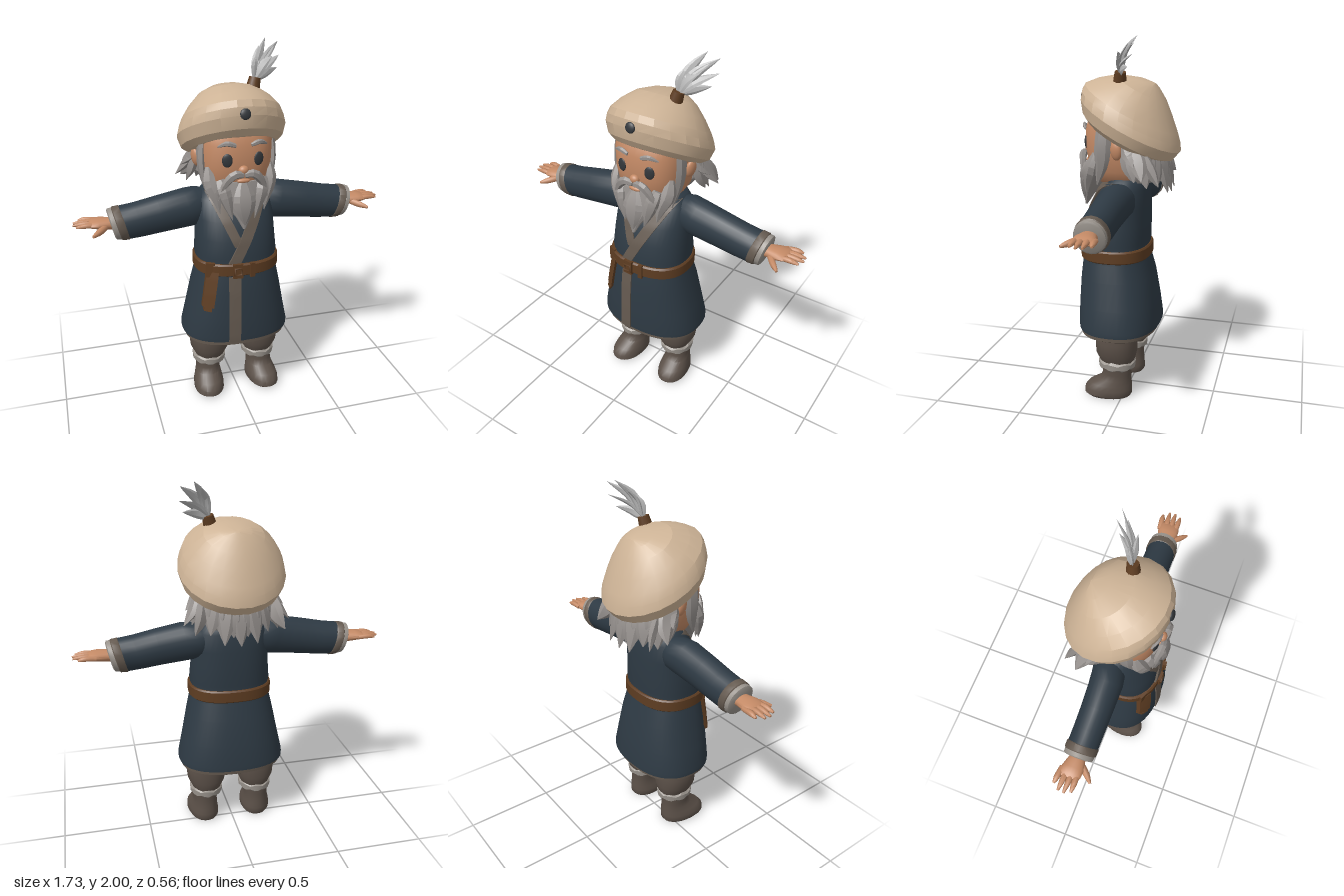
import * as THREE from 'three';
import { toCreasedNormals } from 'three/addons/utils/BufferGeometryUtils.js';

const V = (x, y, z) => new THREE.Vector3(x, y, z);

function makeMaterial(name, color) {
  const m = new THREE.MeshStandardMaterial({ color });
  m.name = name;
  return m;
}

// Closed skin over a list of equally long point rings; winding is set by its volume
function loft(rows, crease = 0.7) {
  const n = rows[0].length, pts = rows.flat(), idx = [];
  for (let i = 0; i < rows.length - 1; i++) {
    for (let j = 0; j < n; j++) {
      const a = i * n + j, b = i * n + (j + 1) % n;
      idx.push(a, a + n, b, b, a + n, b + n);
    }
  }
  [0, rows.length - 1].forEach((r, end) => {
    const c = pts.length;
    pts.push(rows[r].reduce((s, p) => s.add(p), V(0, 0, 0)).divideScalar(n));
    for (let j = 0; j < n; j++) {
      const a = r * n + j, b = r * n + (j + 1) % n;
      if (end) idx.push(c, b, a); else idx.push(c, a, b);
    }
  });
  let volume = 0;
  const o = pts[0], d = (i) => pts[i].clone().sub(o);
  for (let i = 0; i < idx.length; i += 3) volume += d(idx[i]).dot(d(idx[i + 1]).cross(d(idx[i + 2])));
  if (volume < 0) idx.reverse();
  const g = new THREE.BufferGeometry().setFromPoints(pts);
  g.setIndex(idx);
  return toCreasedNormals(g, crease);
}

// Horizontal superellipse ring from [y, half width, back z, front z]
function ring([y, hw, back, front], cx = 0, p = 2, n = 32) {
  const pw = (c) => Math.sign(c) * Math.abs(c) ** (2 / p);
  return Array.from({ length: n }, (_, j) => {
    const t = j / n * Math.PI * 2;
    return V(cx + hw * pw(Math.cos(t)), y, (front + back) / 2 + (front - back) / 2 * pw(Math.sin(t)));
  });
}
const stack = (profile, cx, p, n, crease) => loft(profile.map((r) => ring(r, cx, p, n)), crease);

// Tube along x from [x, centre y, y radius, centre z, z radius], sheared by slant
function limb(s, profile, slant = 0, n = 20) {
  return loft(profile.map(([x, cy, ry, cz, rz]) => Array.from({ length: n }, (_, j) => {
    const t = j / n * Math.PI * 2, dy = ry * Math.sin(t);
    return V(s * (x + slant * dy), cy + dy, cz + rz * Math.cos(t));
  })));
}

// Tapered lock swept through points; side sets the wide direction
function lock(points, width, thick, side, ends = [0.6, 0.04], sides = 6, crease = 0.2) {
  const curve = new THREE.CatmullRomCurve3(points.map((p) => V(...p)));
  const rows = [];
  for (let i = 0; i <= 7; i++) {
    const t = i / 7, c = curve.getPoint(t), T = curve.getTangent(t);
    const W = V(...side).addScaledVector(T, -V(...side).dot(T)).normalize();
    const N = W.clone().cross(T);
    const k = t < 0.4 ? ends[0] + (1 - ends[0]) * Math.sin(t / 0.4 * Math.PI / 2)
      : ends[1] + (1 - ends[1]) * Math.cos((t - 0.4) / 0.6 * Math.PI / 2);
    rows.push(Array.from({ length: sides }, (_, j) => {
      const a = j / sides * Math.PI * 2;
      return c.clone().addScaledVector(W, width * k * Math.cos(a)).addScaledVector(N, thick * k * Math.sin(a));
    }));
  }
  return loft(rows, crease);
}

// [y, half width, back, front]
const COAT = [[0.405, 0.306, -0.18, 0.276], [0.43, 0.306, -0.18, 0.278], [0.55, 0.28, -0.165, 0.276], [0.7, 0.25, -0.14, 0.268],
  [0.79, 0.23, -0.115, 0.258], [0.84, 0.219, -0.105, 0.25], [0.9, 0.227, -0.11, 0.25], [1.0, 0.218, -0.112, 0.238],
  [1.1, 0.215, -0.112, 0.205], [1.2, 0.205, -0.105, 0.155], [1.25, 0.165, -0.09, 0.118], [1.29, 0.085, -0.05, 0.085]];
const HEAD = [[1.2, 0.08, -0.03, 0.1], [1.24, 0.14, -0.1, 0.18], [1.3, 0.175, -0.14, 0.215], [1.4, 0.192, -0.16, 0.232],
  [1.52, 0.195, -0.16, 0.235], [1.62, 0.17, -0.14, 0.2], [1.7, 0.1, -0.1, 0.1]];

function section(profile, y) {
  let i = 0;
  while (i < profile.length - 2 && profile[i + 1][0] < y) i++;
  const t = (y - profile[i][0]) / (profile[i + 1][0] - profile[i][0]);
  return profile[i].map((v, k) => v + (profile[i + 1][k] - v) * t);
}
function frontZ(profile, x, y, p) {
  const [, hw, back, front] = section(profile, y);
  const u = Math.min(Math.abs(x) / hw, 0.99);
  return (front + back) / 2 + (front - back) / 2 * (1 - u ** p) ** (1 / p);
}

// Raised ribbon lying on the coat front, from [x, y] to [x, y]
function ribbon([x0, y0], [x1, y1], w, lift = 0.008) {
  const rows = [];
  for (let i = 0; i <= 16; i++) {
    const x = x0 + (x1 - x0) * i / 16, y = y0 + (y1 - y0) * i / 16, row = [];
    for (const [k, h] of [[-1, -0.012], [-1, lift], [0, lift], [1, lift], [1, -0.012], [0, -0.012]]) {
      const px = x + k * w / 2;
      row.push(V(px, y, frontZ(COAT, px, y, 2.4) + h));
    }
    rows.push(row);
  }
  return loft(rows, 0.5);
}

export function createModel() {
  const model = new THREE.Group();
  model.name = 'oldMan';
  const skin = makeMaterial('skin', 0xc48a66), hair = makeMaterial('greyHair', 0x96918e), feather = makeMaterial('featherGrey', 0xb9b9b9);
  const felt = makeMaterial('hatFelt', 0xcdb396), cloth = makeMaterial('coatCloth', 0x2e3a44), leather = makeMaterial('beltLeather', 0x5e3d22);
  const trim = makeMaterial('trimBrown', 0x655a50), boots = makeMaterial('trouserBrown', 0x5c5149), fur = makeMaterial('fur', 0x99938c), dark = makeMaterial('darkGrey', 0x33373b);
  const add = (name, geo, mat, pos = [0, 0, 0], rot = [0, 0, 0], scale = [1, 1, 1]) => {
    const m = new THREE.Mesh(geo, mat);
    m.name = name;
    m.position.set(...pos); m.rotation.set(...rot); m.scale.set(...scale);
    model.add(m);
    return m;
  };
  const ball = new THREE.SphereGeometry(1, 20, 14);

  // Coat, hem, belt
  add('coat', stack(COAT, 0, 2.4, 40), cloth);
  add('hem', stack([[0.372, 0.28, -0.155, 0.255], [0.38, 0.294, -0.167, 0.267], [0.41, 0.296, -0.17, 0.268]], 0, 2.4, 40), trim);
  add('frontTrim', ribbon([-0.055, 0.385 + 0.02], [-0.05, 0.8], 0.065), trim);
  add('rightLapel', ribbon([-0.14, 1.24], [-0.02, 0.97], 0.055, 0.006), trim);
  add('leftLapel', ribbon([0.14, 1.24], [-0.05, 0.88], 0.065, 0.011), trim);
  add('belt', stack([[0.805, 0.228, -0.115, 0.258], [0.812, 0.236, -0.122, 0.267], [0.868, 0.236, -0.122, 0.267], [0.876, 0.228, -0.115, 0.258]], 0, 2.4, 40), leather);
  for (const [x, w] of [[-0.175, 0.05], [-0.035, 0.055], [0.045, 0.025]]) {
    add('beltLoop', new THREE.BoxGeometry(w, 0.082, 0.02), leather, [x, 0.84, frontZ(COAT, x, 0.84, 2.4) + 0.016], [0, x * 2.2, 0]);
  }
  add('buckle', new THREE.TorusGeometry(0.026, 0.007, 6, 4), leather, [-0.035, 0.84, 0.277], [0, 0, Math.PI / 4]);
  add('beltTail', ribbon([-0.165, 0.83], [-0.197, 0.625], 0.056, 0.022), leather);
  add('beltTailTip', ribbon([-0.197, 0.626], [-0.2, 0.602], 0.036, 0.022), leather);

  // Arms, hands, legs
  for (const s of [1, -1]) {
    add('sleeve', limb(s, [[0.13, 1.165, 0.07, 0.01, 0.07], [0.19, 1.15, 0.1, 0.015, 0.09], [0.25, 1.142, 0.106, 0.025, 0.09],
      [0.4, 1.12, 0.1, 0.028, 0.085], [0.52, 1.1, 0.095, 0.028, 0.083], [0.605, 1.09, 0.093, 0.027, 0.082]], 0.25), cloth);
    add('cuffTrim', limb(s, [[0.595, 1.09, 0.092, 0.026, 0.084], [0.6, 1.09, 0.096, 0.026, 0.087], [0.635, 1.088, 0.093, 0.026, 0.086], [0.64, 1.088, 0.088, 0.026, 0.08]], 0.25), trim);
    add('cuffFur', limb(s, [[0.635, 1.088, 0.082, 0.026, 0.077], [0.64, 1.088, 0.088, 0.026, 0.082], [0.662, 1.087, 0.086, 0.026, 0.08], [0.668, 1.087, 0.075, 0.026, 0.07]], 0.25), fur);
    add('palm', limb(s, [[0.62, 1.09, 0.034, 0.026, 0.04], [0.68, 1.095, 0.031, 0.026, 0.045], [0.73, 1.1, 0.028, 0.024, 0.058],
      [0.765, 1.101, 0.022, 0.02, 0.06], [0.785, 1.1, 0.013, 0.018, 0.052]]), skin);
    [[-0.03, -0.04, 0.835], [0.002, -0.006, 0.862], [0.032, 0.026, 0.865], [0.06, 0.06, 0.85]].forEach(([z0, z1, x]) => {
      add('finger', lock([[s * 0.74, 1.1, z0 * 0.95], [s * 0.8, 1.105, (z0 + z1) / 2], [s * x, 1.1, z1]], 0.016, 0.014, [0, 0, 1], [0.9, 0.4], 8, 1), skin);
    });
    add('thumb', lock([[s * 0.69, 1.09, 0.05], [s * 0.73, 1.08, 0.095], [s * 0.77, 1.07, 0.133]], 0.019, 0.017, [0, 1, 0], [0.9, 0.4], 8, 1), skin);

    add('trouserLeg', stack([[0.19, 0.075, -0.05, 0.12], [0.23, 0.09, -0.065, 0.14], [0.27, 0.11, -0.075, 0.157], [0.34, 0.118, -0.075, 0.16], [0.46, 0.105, -0.07, 0.15]], s * 0.148, 2.2, 24, 0.5), boots);
    const boot = add('boot', stack([[0, 0.078, -0.075, 0.17], [0.015, 0.088, -0.085, 0.19], [0.045, 0.087, -0.085, 0.187], [0.075, 0.08, -0.083, 0.16],
      [0.105, 0.072, -0.08, 0.1], [0.14, 0.07, -0.08, 0.082], [0.2, 0.08, -0.085, 0.09]], 0, 2.2, 24), boots, [s * 0.158, 0, 0.035], [0, s * 0.12, 0]);
    boot.name = s > 0 ? 'leftBoot' : 'rightBoot';
    const cuff = [[0.172, 0.082], [0.182, 0.095], [0.212, 0.097], [0.228, 0.08]].map(([y, r]) =>
      ring([y, r, 0.038 - r * 1.1, 0.038 + r * 1.1], s * 0.15, 2, 24).map((p, j) => p.add(V(0, 0.005 * Math.sin(j * 2.1 + y * 90), 0))));
    add('bootFur', loft(cuff, 0.5), fur);
  }

  // Head and face
  add('neck', new THREE.CylinderGeometry(0.075, 0.085, 0.14, 20), skin, [0, 1.27, 0.02]);
  add('head', stack(HEAD, 0, 2.6, 36, 1), skin);
  add('nose', ball, skin, [0, 1.395, 0.235], [0, 0, 0], [0.027, 0.024, 0.022]);
  for (const s of [1, -1]) {
    add('eye', ball, dark, [s * 0.083, 1.448, frontZ(HEAD, 0.083, 1.448, 2.6)], [0, s * 0.24, 0], [0.027, 0.036, 0.009]);
    add('eyebrow', lock([[s * 0.04, 1.525, 0.236], [s * 0.085, 1.538, 0.232], [s * 0.13, 1.52, 0.212]], 0.014, 0.012, [0, 1, 0], [0.7, 0.3]), hair);
    add('ear', ball, skin, [s * 0.203, 1.42, 0.025], [0, s * -0.3, s * -0.15], [0.02, 0.05, 0.033]);
    // Sideburns, whiskers and moustache
    add('sideburn', lock([[s * 0.18, 1.57, 0.09], [s * 0.193, 1.45, 0.1], [s * 0.185, 1.34, 0.11], [s * 0.165, 1.23, 0.14]], 0.045, 0.02, [0, 0, 1], [0.9, 0.1]), hair);
    add('whisker', lock([[s * 0.165, 1.4, 0.15], [s * 0.165, 1.32, 0.175], [s * 0.14, 1.25, 0.2], [s * 0.12, 1.16, 0.215]], 0.042, 0.03, [1, 0, -s], [0.4, 0.04]), hair);
    add('cheekLock', lock([[s * 0.12, 1.34, 0.2], [s * 0.1, 1.27, 0.23], [s * 0.06, 1.13, 0.245]], 0.04, 0.03, [1, 0, -s * 0.5]), hair);
    add('moustache', lock([[s * 0.004, 1.372, 0.25], [s * 0.05, 1.378, 0.252], [s * 0.1, 1.325, 0.24], [s * 0.13, 1.24, 0.232]], 0.024, 0.02, [s * 0.7, 0.7, 0], [0.6, 0.06]), hair);
  }
  add('beard', stack([[1.08, 0.008, 0.25, 0.262], [1.14, 0.04, 0.21, 0.266], [1.2, 0.088, 0.15, 0.262], [1.27, 0.135, 0.1, 0.25], [1.33, 0.15, 0.1, 0.235]], 0, 2, 14, 0.2), hair);
  add('lowerLip', ball, skin, [0, 1.338, 0.236], [0, 0, 0], [0.035, 0.012, 0.012]);
  add('chinLock', lock([[0, 1.33, 0.235], [0, 1.25, 0.258], [0, 1.18, 0.266], [0, 1.1, 0.262]], 0.06, 0.02, [1, 0, 0], [0.4, 0.04]), hair);

  // Back hair: inner shell with two layers of pointed locks
  add('hairShell', stack([[1.24, 0.13, -0.15, -0.03], [1.31, 0.185, -0.19, 0], [1.4, 0.2, -0.2, 0.0], [1.52, 0.2, -0.19, 0.04]], 0, 2.2, 16, 0.2), hair);
  const backLock = (a, len, out, w) => {
    const sx = Math.sin(a), cz = Math.cos(a), up = Math.abs(sx);
    return lock([[sx * 0.18, 1.42 + up * 0.05, -0.03 - cz * 0.14], [sx * (0.2 + out * 0.3), 1.32 + up * 0.03, -0.04 - cz * 0.16],
      [sx * (0.215 + out), 1.31 - len + up * 0.085, -0.055 - cz * (0.165 + out * 0.6)]], w, 0.028, [cz, 0, sx], [0.7, 0.04]);
  };
  for (let i = 0; i < 9; i++) add('backLock', backLock((i - 4) * 0.36, 0.13 + (i % 2) * 0.02, 0.02 + (i % 2) * 0.015, 0.06), hair);
  for (let i = 0; i < 8; i++) add('underLock', backLock((i - 3.5) * 0.36, 0.1, 0.0, 0.055), hair);
  for (const s of [1, -1]) {
    add('sideTuft', lock([[s * 0.18, 1.47, -0.05], [s * 0.225, 1.36, -0.1], [s * 0.285, 1.28, -0.13]], 0.05, 0.025, [0, 0.3, 1]), hair);
    add('lowTuft', lock([[s * 0.17, 1.42, -0.1], [s * 0.2, 1.32, -0.16], [s * 0.24, 1.25, -0.21]], 0.05, 0.025, [-s, 0.3, 1]), hair);
    add('earTuft', lock([[s * 0.185, 1.48, -0.02], [s * 0.215, 1.4, -0.05], [s * 0.265, 1.35, -0.08]], 0.04, 0.022, [0, 0.3, 1]), hair);
  }

  // Tilted soft hat, puffed forward over the brow
  add('hat', stack([[-0.03, 0.17, -0.16, 0.19], [-0.018, 0.235, -0.225, 0.25], [0.008, 0.272, -0.265, 0.293], [0.065, 0.29, -0.277, 0.334],
    [0.105, 0.279, -0.25, 0.348], [0.142, 0.262, -0.215, 0.346], [0.2, 0.22, -0.152, 0.295], [0.26, 0.16, -0.082, 0.216],
    [0.3, 0.085, -0.02, 0.11], [0.315, 0.015, 0.01, 0.03]], 0, 2, 22, 0.3), felt, [0, 1.47, 0], [-0.49, 0, 0]);
  add('hatBadge', ball, dark, [0, 1.69, 0.262], [-0.2, 0, 0], [0.028, 0.028, 0.012]);

  // Plume tied to the crown
  add('plumeTie', new THREE.CylinderGeometry(0.03, 0.036, 0.05, 10), leather, [0.115, 1.795, 0.025], [-0.15, 0, -0.25]);
  const tips = [[0.14, 1.93, -0.01], [0.165, 1.965, -0.06], [0.208, 2.0, -0.09], [0.245, 1.96, -0.05], [0.278, 1.98, -0.09],
    [0.283, 1.91, -0.08], [0.262, 1.85, -0.05], [0.215, 1.92, 0.01]];
  tips.forEach(([x, y, z], i) => {
    const mid = [0.115 + (x - 0.115) * 0.45, 1.81 + (y - 1.81) * 0.6, 0.02 + (z - 0.02) * 0.3];
    add('plumeBarb', lock([[0.12, 1.81, 0.02], mid, [x, y, z]], 0.026, 0.009, [0.7, -0.6, i % 2 ? 0.5 : -0.3], [0.4, 0.04]), feather);
  });
  return model;
}
